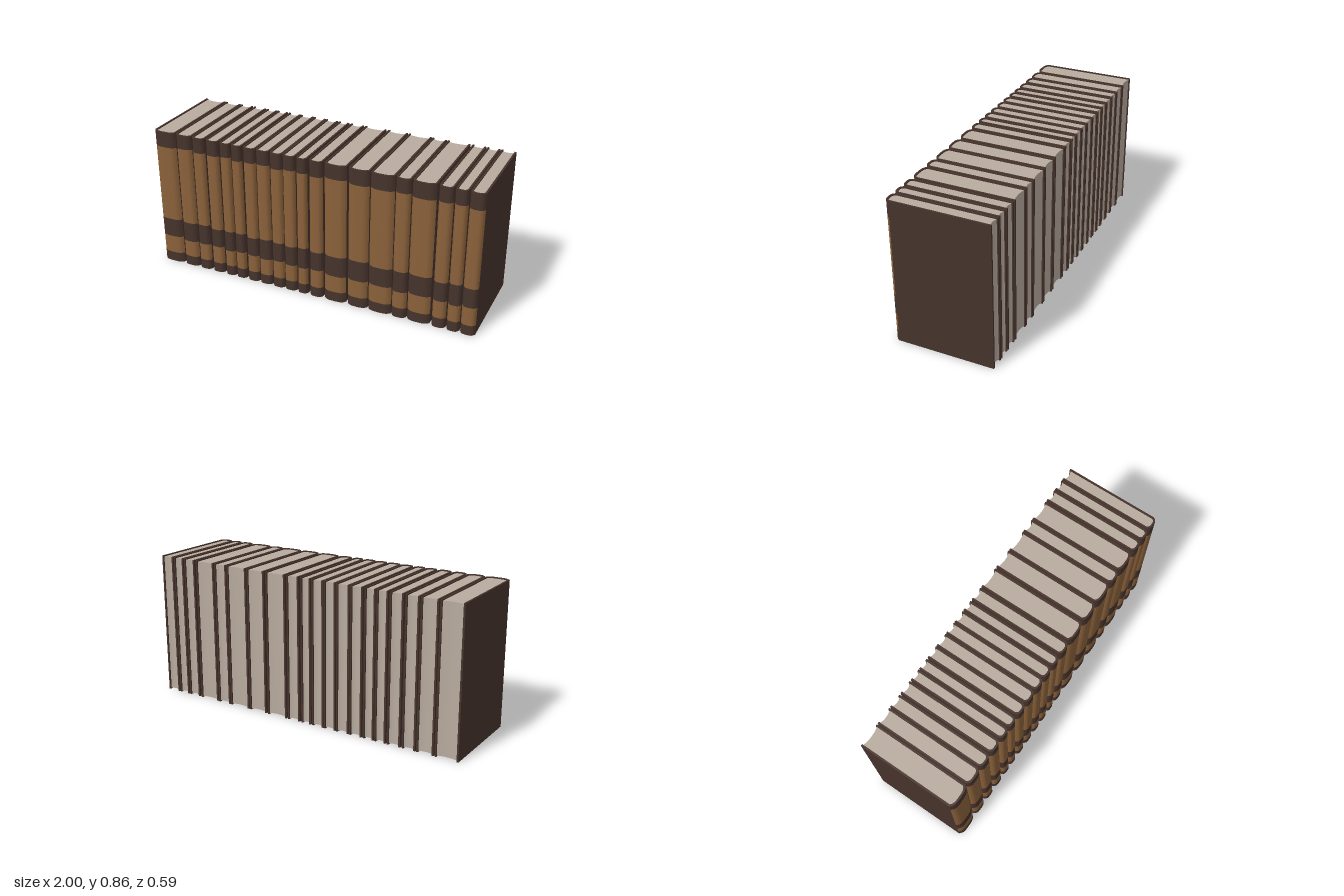
import * as THREE from 'three';

const HEIGHT = 0.86, BOARD = 0.011, BACK = -0.295, SHOULDER = 0.27, BULGE = 0.023;

const cover = new THREE.MeshStandardMaterial({ color: 0x46332c });
cover.name = 'darkLeather';
const tan = new THREE.MeshStandardMaterial({ color: 0x8a613a });
tan.name = 'tanLeather';
const paper = new THREE.MeshStandardMaterial({ color: 0xb8ab9e });
paper.name = 'paper';

// Left and right edge of every book in the row
const BOOKS = [
  [-1, -0.861], [-0.855, -0.752], [-0.746, -0.664], [-0.654, -0.572], [-0.563, -0.493],
  [-0.488, -0.42], [-0.41, -0.332], [-0.328, -0.245], [-0.24, -0.163], [-0.16, -0.083],
  [-0.076, -0.01], [0.002, 0.085], [0.095, 0.228], [0.24, 0.362], [0.368, 0.506],
  [0.511, 0.598], [0.604, 0.737], [0.749, 0.829], [0.836, 0.909], [0.915, 1],
];

// Extrudes a floor outline of [x, z] points from y0 up to y1
function prism(outline, y0, y1, material, name) {
  const shape = new THREE.Shape(outline.map(([x, z]) => new THREE.Vector2(x, -z)));
  const geometry = new THREE.ExtrudeGeometry(shape, { depth: y1 - y0, bevelEnabled: false });
  geometry.rotateX(-Math.PI / 2);
  const mesh = new THREE.Mesh(geometry, material);
  mesh.position.y = y0;
  mesh.name = name;
  return mesh;
}

// Points across the width, from -half to +half, with z given by a rule of u in -1..1
function arc(half, rule, steps = 14) {
  return Array.from({ length: steps + 1 }, (_, i) => {
    const u = -Math.cos((Math.PI * i) / steps);
    return [u * half, rule(u)];
  });
}

function createBook(width, index) {
  const book = new THREE.Group();
  const half = width / 2;

  // Front and back boards
  for (const side of [-1, 1]) {
    const board = new THREE.Mesh(new THREE.BoxGeometry(BOARD, HEIGHT, SHOULDER - BACK), cover);
    board.position.set(side * (half - BOARD / 2), HEIGHT / 2, (SHOULDER + BACK) / 2);
    board.name = side < 0 ? 'rightBoard' : 'leftBoard';
    book.add(board);
  }

  // Rounded spine in alternating bands, slightly uneven from book to book
  const outer = arc(half, (u) => SHOULDER + BULGE * (1 - u ** 4));
  const inner = arc(half - BOARD, (u) => SHOULDER - 0.004 + (BULGE - BOARD + 0.004) * (1 - u ** 4));
  const outline = [...outer, ...inner.reverse()];
  const wobble = (k) => 0.005 * Math.sin(index * 2.3 + k * 1.7);
  const levels = [0, 0.062, 0.17 + wobble(1), 0.294 + wobble(2), 0.77 + wobble(3), HEIGHT];
  for (let i = 0; i < 5; i++) {
    book.add(prism(outline, levels[i], levels[i + 1], i % 2 ? tan : cover, i % 2 ? 'spinePanel' : 'spineBand'));
  }

  // Page block with a hollowed fore edge
  const pageHalf = half - BOARD;
  const foreEdge = arc(pageHalf, (u) => -0.28 - 0.008 * u * u, 10);
  const pageFront = arc(pageHalf, (u) => SHOULDER - 0.004 + (BULGE - BOARD + 0.004) * (1 - u ** 4));
  book.add(prism([...pageFront, ...foreEdge.reverse()], 0.006, HEIGHT - 0.006, paper, 'pages'));
  return book;
}

export function createModel() {
  const row = new THREE.Group();
  row.name = 'bookRow';
  BOOKS.forEach(([left, right], i) => {
    const book = createBook(right - left, i);
    book.position.x = (left + right) / 2;
    book.name = `book${i + 1}`;
    row.add(book);
  });
  return row;
}
